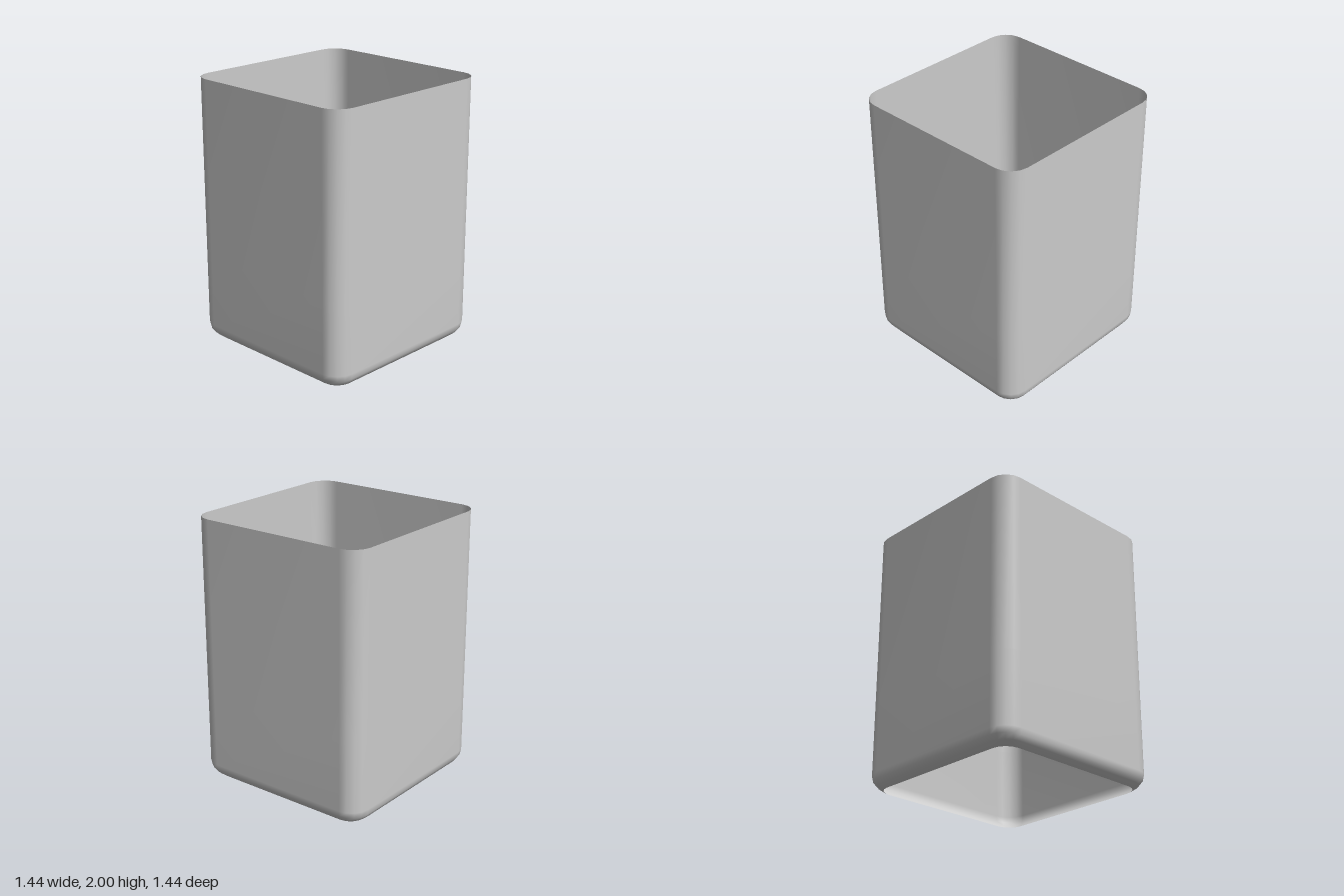
import * as THREE from 'three';

const CORNER_STEPS = 4;

// Rounded-square ring of points, running from +x towards +z
function ring(half, radius, y) {
  const points = [];
  const c = half - radius;
  for (let q = 0; q < 4; q++) {
    const mid = (q + 0.5) * Math.PI / 2;
    const cx = Math.sign(Math.cos(mid)) * c;
    const cz = Math.sign(Math.sin(mid)) * c;
    for (let i = 0; i <= CORNER_STEPS; i++) {
      const a = (q + i / CORNER_STEPS) * Math.PI / 2;
      points.push(cx + radius * Math.cos(a), y, cz + radius * Math.sin(a));
    }
  }
  return points;
}

// Skin over a stack of rings, open at both ends
function loft(rings) {
  const n = rings[0].length / 3;
  const index = [];
  for (let r = 0; r < rings.length - 1; r++) {
    for (let i = 0; i < n; i++) {
      const a = r * n + i, b = r * n + (i + 1) % n;
      index.push(a, a + n, b, b, a + n, b + n);
    }
  }
  const geometry = new THREE.BufferGeometry();
  geometry.setAttribute('position', new THREE.Float32BufferAttribute(rings.flat(), 3));
  geometry.setIndex(index);
  geometry.computeVertexNormals();
  return geometry;
}

export function createModel() {
  const group = new THREE.Group();
  group.name = 'openSleeve';

  // Half width, corner radius and height, from the turned-in bottom edge to the rim
  const sections = [
    [0.652, 0.115, 0],
    [0.69, 0.13, 0.03],
    [0.713, 0.14, 0.065],
    [0.722, 0.145, 0.11],
    [0.722, 0.145, 0.65],
    [0.722, 0.145, 2],
  ];
  const material = new THREE.MeshStandardMaterial({ color: 0xcccccc, side: THREE.DoubleSide });
  const wall = new THREE.Mesh(loft(sections.map((s) => ring(...s))), material);
  wall.name = 'wall';
  group.add(wall);
  return group;
}
